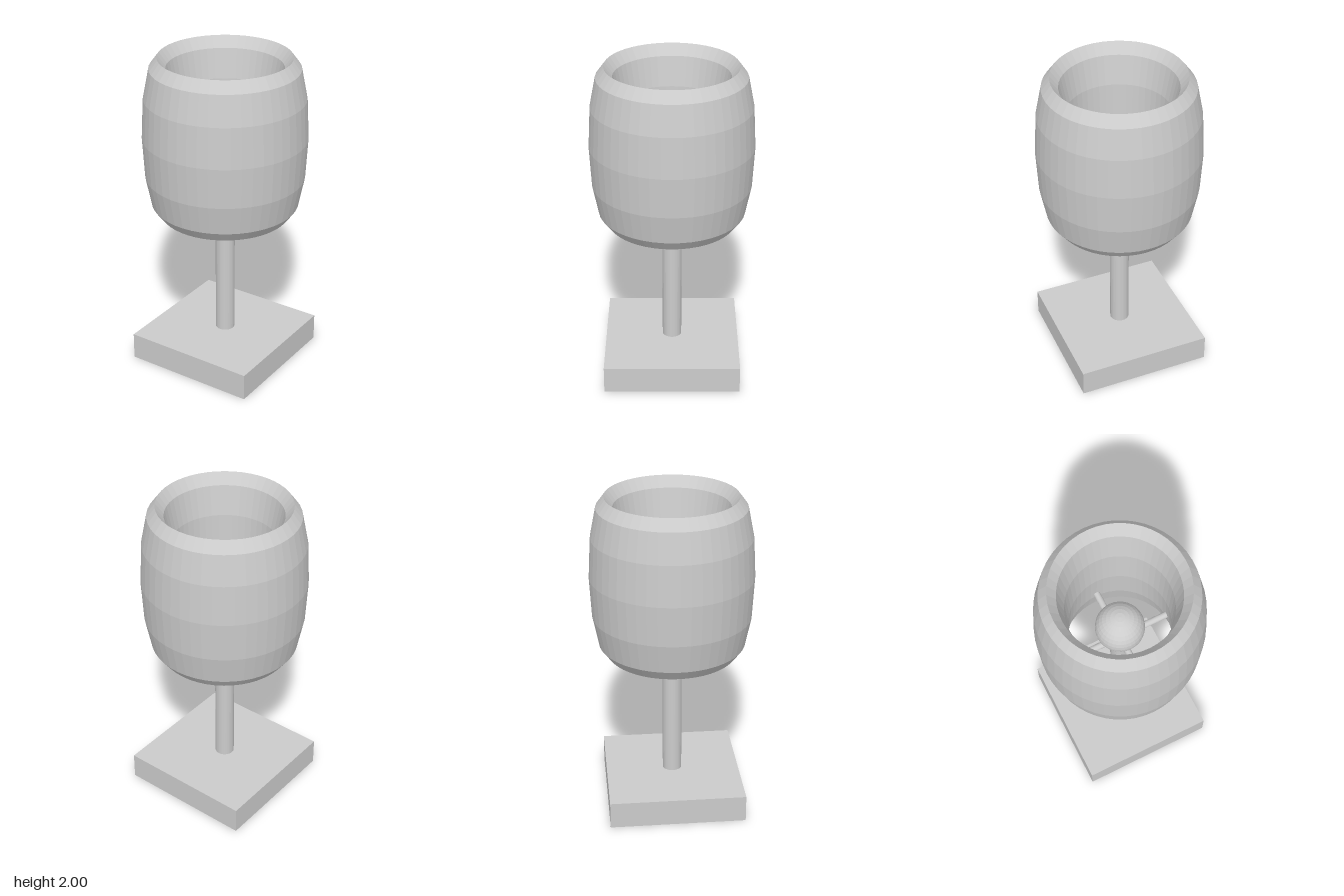
import * as THREE from 'three';

export function createModel() {
  const group = new THREE.Group();
  const material = new THREE.MeshStandardMaterial({ color: 0xcccccc, flatShading: true });
  const add = (name, geometry, x = 0, y = 0, z = 0) => {
    const mesh = new THREE.Mesh(geometry, material);
    mesh.name = name;
    mesh.position.set(x, y, z);
    group.add(mesh);
    return mesh;
  };

  // Square foot and round pole
  const baseHeight = 0.17;
  const poleTop = 1.35;
  add('base', new THREE.BoxGeometry(0.845, baseHeight, 0.845), 0, baseHeight / 2, 0);
  add('pole', new THREE.CylinderGeometry(0.06, 0.06, poleTop - baseHeight, 32), 0, (poleTop + baseHeight) / 2, 0);

  // Bulb on top of the pole
  add('bulb', new THREE.SphereGeometry(0.147, 32, 16), 0, 1.45, 0);

  // Thick open shade: a ring stretched upwards
  const shade = new THREE.TorusGeometry(0.4, 0.1, 12, 48);
  shade.rotateX(Math.PI / 2);
  shade.scale(1, 5, 1);
  add('shade', shade, 0, 1.5, 0);

  // Crossed rods that carry the shade
  for (const [name, angle] of [['sideRod', 0], ['depthRod', Math.PI / 2]]) {
    const rod = new THREE.CylinderGeometry(0.02, 0.02, 0.68, 24);
    rod.rotateZ(Math.PI / 2);
    rod.rotateY(angle);
    add(name, rod, 0, 1.29, 0);
  }

  return group;
}
